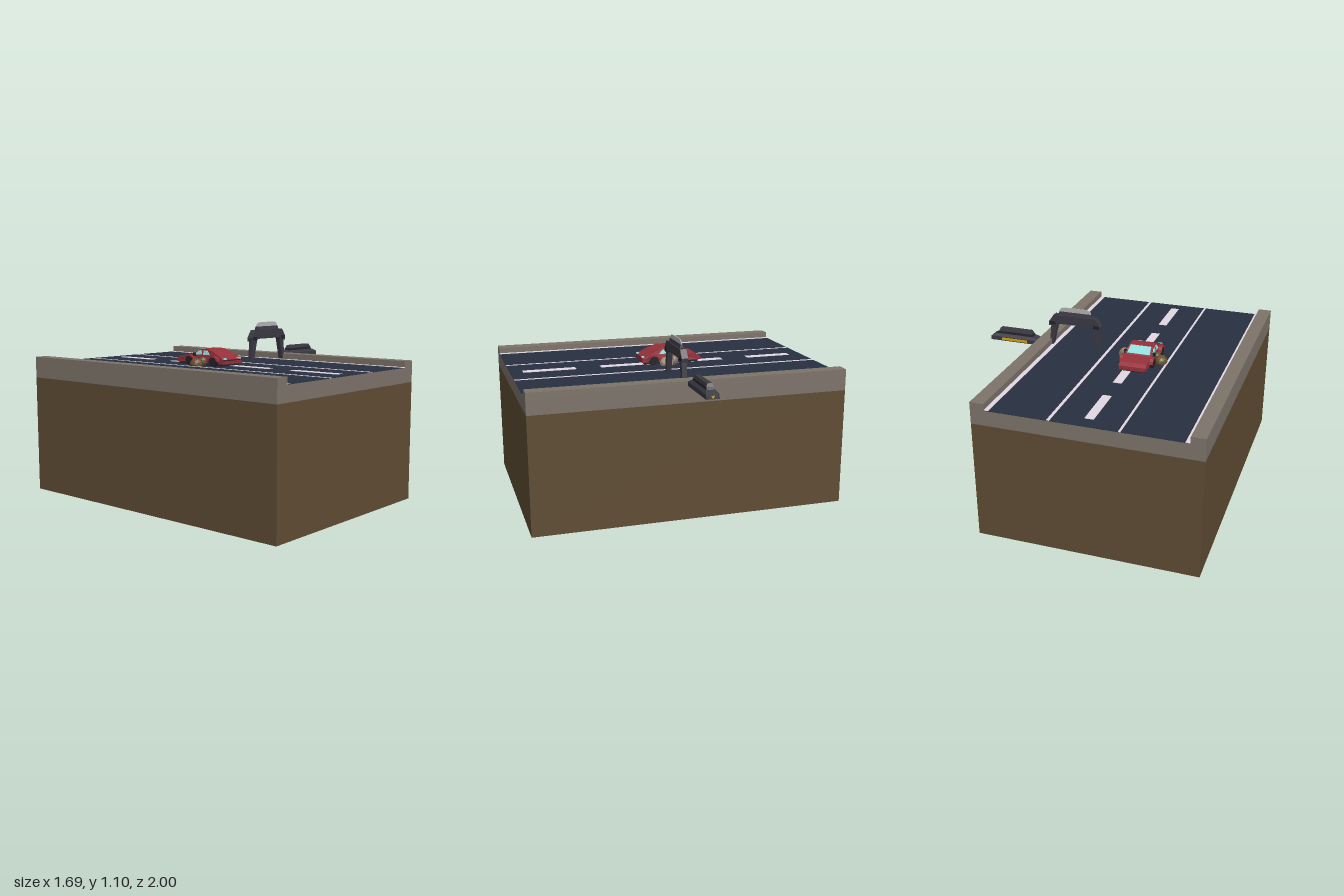
import * as THREE from 'three';

const C = {
  dirt: 0x5f4c34, stone: 0x7d746a, road: 0x283040, line: 0xe2d8e4, red: 0x96303a,
  glass: 0x92dce0, dark: 0x3b3943, black: 0x222127, panel: 0xb4b4b4, yellow: 0xd6a512,
  brown: 0x66502f, tan: 0xb0927a, grey: 0x77736a,
};
const mats = {};
for (const k in C) {
  mats[k] = new THREE.MeshStandardMaterial({ color: C[k], flatShading: true });
}

function add(parent, name, geo, mat) {
  const m = new THREE.Mesh(geo, mats[mat]);
  m.name = name;
  parent.add(m);
  return m;
}

// Box given by its limits on each axis
function slab(parent, name, mat, [x0, x1], [y0, y1], [z0, z1]) {
  const g = new THREE.BoxGeometry(x1 - x0, y1 - y0, z1 - z0);
  g.translate((x0 + x1) / 2, (y0 + y1) / 2, (z0 + z1) / 2);
  return add(parent, name, g, mat);
}

// Box whose top is smaller than its base by an inset in x and z
function frustum(w, y0, y1, d, ix, iz) {
  const g = new THREE.BoxGeometry(w, y1 - y0, d);
  g.translate(0, (y0 + y1) / 2, 0);
  const p = g.attributes.position;
  for (let i = 0; i < p.count; i++) {
    if (p.getY(i) < (y0 + y1) / 2) continue;
    p.setX(i, p.getX(i) - Math.sign(p.getX(i)) * ix);
    p.setZ(i, p.getZ(i) - Math.sign(p.getZ(i)) * iz);
  }
  g.computeVertexNormals();
  return g;
}

// Flat outline extruded evenly about z = 0
function plate(points, depth) {
  const s = new THREE.Shape(points.map(([x, y]) => new THREE.Vector2(x, y)));
  const g = new THREE.ExtrudeGeometry(s, { depth, bevelEnabled: false });
  return g.translate(0, 0, -depth / 2);
}

// Mirror a right-hand outline to make a closed symmetric one
const mirrored = (pts) => [...pts, ...pts.slice().reverse().map(([x, y]) => [-x, y])];

// Side profile (z, y) extruded across the car, narrowing towards the roof
function carPart(points, width) {
  const g = plate(points, width);
  g.rotateY(-Math.PI / 2);
  const p = g.attributes.position;
  for (let i = 0; i < p.count; i++) {
    p.setX(i, p.getX(i) * (1 - 2.6 * Math.max(0, p.getY(i) - 0.905)));
  }
  g.computeVertexNormals();
  return g;
}

function buildGround() {
  const g = new THREE.Group();
  g.name = 'roadBlock';
  const X = [-0.845, 0.515], Z = [-1, 1];
  slab(g, 'earth', 'dirt', X, [0, 0.745], Z);
  slab(g, 'stoneBed', 'stone', X, [0.745, 0.839], Z);
  slab(g, 'rightCurb', 'stone', [-0.845, -0.76], [0.839, 0.88], Z);
  slab(g, 'leftCurb', 'stone', [0.43, 0.515], [0.839, 0.88], Z);
  slab(g, 'roadSurface', 'road', [-0.76, 0.43], [0.838, 0.841], Z);
  // Continuous lane lines
  for (const x of [[-0.76, -0.733], [-0.376, -0.362], [0.035, 0.053], [0.402, 0.43]]) {
    slab(g, 'laneLine', 'line', x, [0.84, 0.843], Z);
  }
  // Centre dashes
  for (const z of [[-0.91, -0.6], [-0.42, -0.09], [0.09, 0.415], [0.58, 0.92]]) {
    slab(g, 'centreDash', 'line', [-0.193, -0.138], [0.84, 0.843], z);
  }
  return g;
}

function buildCar() {
  const g = new THREE.Group();
  g.name = 'car';
  add(g, 'carBody', carPart([
    [-0.25, 0.857], [0.135, 0.857], [0.143, 0.887], [0.055, 0.93], [0.01, 0.946],
    [-0.06, 0.946], [-0.13, 0.906], [-0.225, 0.897], [-0.253, 0.88],
  ], 0.172), 'red');
  add(g, 'windshield', carPart([
    [-0.066, 0.945], [-0.122, 0.913], [-0.124, 0.916], [-0.066, 0.949],
  ].reverse(), 0.15), 'glass');
  add(g, 'sideWindows', carPart([
    [-0.105, 0.91], [0.03, 0.91], [0.005, 0.937], [-0.06, 0.937],
  ], 0.177), 'glass');
  add(g, 'windowPillars', carPart([
    [-0.035, 0.909], [-0.025, 0.909], [-0.025, 0.938], [-0.035, 0.938],
  ], 0.18), 'red');
  slab(g, 'underbody', 'black', [-0.078, 0.078], [0.845, 0.858], [-0.24, 0.13]);
  slab(g, 'rearBumper', 'red', [-0.088, 0.088], [0.857, 0.876], [0.12, 0.146]);
  slab(g, 'frontBumper', 'red', [-0.08, 0.08], [0.857, 0.874], [-0.258, -0.23]);
  slab(g, 'rearTrim', 'black', [-0.08, 0.08], [0.878, 0.882], [0.13, 0.144]);
  for (const s of [-1, 1]) {
    const lamp = slab(g, 'rearLamp', 'glass', [-0.014, 0.014], [0.886, 0.895], [0.122, 0.145]);
    lamp.position.x = s * 0.066;
    const mirror = slab(g, 'sideMirror', 'black', [-0.008, 0.008], [0.9, 0.922], [-0.1, -0.085]);
    mirror.position.x = s * 0.093;
    for (const z of [-0.13, 0.07]) {
      const tyre = new THREE.CylinderGeometry(0.032, 0.032, 0.026, 12).rotateZ(Math.PI / 2);
      add(g, 'wheel', tyre, 'black').position.set(s * 0.092, 0.873, z);
      // Fender over the wheel
      const arc = [];
      for (let i = 0; i <= 6; i++) arc.push([0.042 * Math.cos(i * Math.PI / 6), 0.036 * Math.sin(i * Math.PI / 6)]);
      for (let i = 6; i >= 0; i--) arc.push([0.032 * Math.cos(i * Math.PI / 6), 0.026 * Math.sin(i * Math.PI / 6)]);
      const fender = plate(arc, 0.028).rotateY(-Math.PI / 2);
      add(g, 'fender', fender, 'red').position.set(s * 0.093, 0.873, z);
    }
  }
  g.position.x = -0.205;
  return g;
}

function buildRocks() {
  const g = new THREE.Group();
  g.name = 'rocks';
  for (const [mat, x, y, z, sx, sy, sz] of [
    ['brown', -0.33, 0.852, -0.045, 0.042, 0.04, 0.045],
    ['brown', -0.3, 0.868, -0.02, 0.025, 0.032, 0.03],
    ['tan', -0.085, 0.856, -0.01, 0.042, 0.04, 0.045],
    ['grey', -0.09, 0.868, -0.06, 0.03, 0.036, 0.03],
    ['brown', -0.11, 0.875, -0.03, 0.025, 0.035, 0.03],
  ]) {
    const m = add(g, 'rock', new THREE.IcosahedronGeometry(1, 1), mat);
    m.scale.set(sx, sy, sz);
    m.position.set(x, y, z);
  }
  return g;
}

function buildGate() {
  const g = new THREE.Group();
  g.name = 'archGate';
  add(g, 'gateLegs', plate([[-0.176, 0.841], [-0.152, 0.841], [-0.12, 0.98], [-0.162, 0.98]], 0.032), 'dark');
  add(g, 'gateLegs', plate([[0.152, 0.841], [0.176, 0.841], [0.162, 0.98], [0.12, 0.98]], 0.032), 'dark');
  add(g, 'gateBeam', plate(mirrored([
    [0.115, 0.992], [0.13, 0.975], [0.176, 0.975], [0.178, 1.0], [0.142, 1.05],
  ]), 0.04), 'dark');
  add(g, 'gateCap', frustum(0.225, 1.05, 1.072, 0.024, 0.004, 0.005), 'dark');
  add(g, 'gatePanel', plate(mirrored([
    [0.108, 1.07], [0.104, 1.087], [0.09, 1.097], [0.066, 1.1],
  ]), 0.006), 'panel');
  for (const s of [-1, 1]) {
    const shoulder = slab(g, 'shoulderPlate', 'black', [-0.02, 0.02], [0.983, 1.005], [-0.022, 0.022]);
    shoulder.position.x = s * 0.15;
  }
  g.position.set(0.27, 0, 0.036);
  return g;
}

function buildHover() {
  const g = new THREE.Group();
  g.name = 'floatingUnit';
  add(g, 'unitBase', frustum(0.318, 0.868, 0.846, 0.062, 0, 0).scale(1, 1, 1), 'dark').visible = false;
  g.clear();
  add(g, 'unitBase', frustum(0.335, 0.848, 0.875, 0.08, 0.003, 0), 'dark');
  add(g, 'unitShoulder', frustum(0.329, 0.875, 0.892, 0.08, 0.035, 0.012), 'dark');
  add(g, 'unitNeck', frustum(0.25, 0.892, 0.907, 0.05, 0.006, 0.003), 'black');
  add(g, 'unitTop', frustum(0.235, 0.907, 0.927, 0.044, 0.01, 0.006), 'dark');
  // Glowing strip on the back and lamps on the ends
  slab(g, 'glowStrip', 'yellow', [-0.09, 0.09], [0.853, 0.87], [-0.0415, -0.035]);
  slab(g, 'glowUnderside', 'yellow', [-0.09, 0.09], [0.8465, 0.85], [-0.034, -0.012]);
  for (const s of [-1, 1]) {
    const lamp = add(g, 'endLamp', new THREE.CylinderGeometry(0.013, 0.013, 0.004, 3), 'yellow');
    lamp.rotation.set(Math.PI / 2, 0, Math.PI / 2);
    lamp.position.set(s * 0.167, 0.862, 0);
  }
  g.position.set(0.672, 0, -0.003);
  return g;
}

export function createModel() {
  const model = new THREE.Group();
  model.name = 'roadScene';
  model.add(buildGround(), buildCar(), buildRocks(), buildGate(), buildHover());
  return model;
}
